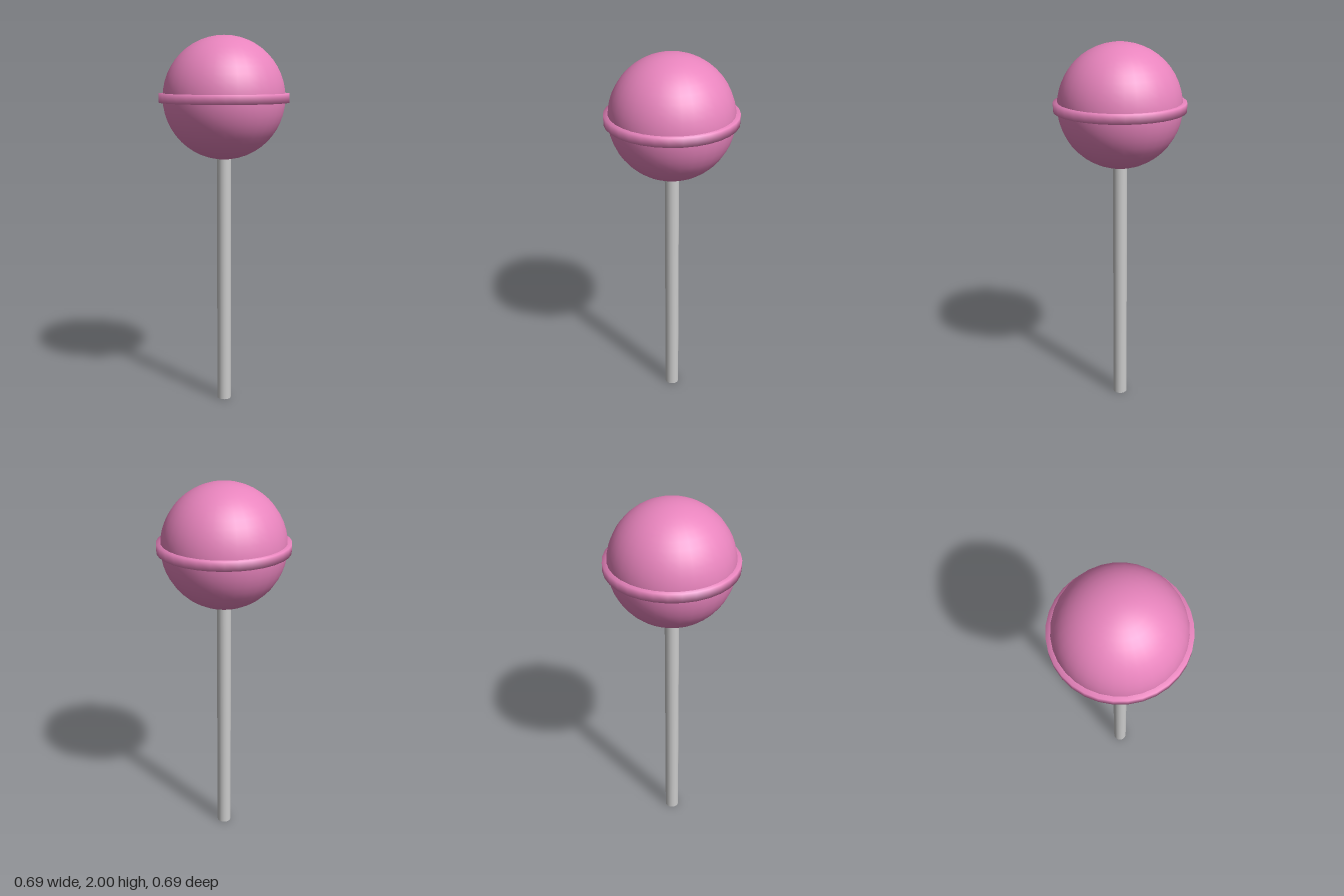
import * as THREE from 'three';

export function createModel() {
  const model = new THREE.Group();
  const pink = new THREE.MeshStandardMaterial({ color: 0xe884bd });
  const grey = new THREE.MeshStandardMaterial({ color: 0xcccccc });
  const candyY = 1.675;

  const add = (name, geometry, material, y) => {
    const mesh = new THREE.Mesh(geometry, material);
    mesh.name = name;
    mesh.position.y = y;
    model.add(mesh);
  };

  // Round candy
  add('candyBall', new THREE.SphereGeometry(0.325, 32, 24), pink, candyY);

  // Softly shaded band around the candy's middle
  const h = 0.024;
  const profile = [[0.3, -h], [0.346, -h], [0.346, h], [0.3, h]]
    .map(([r, y]) => new THREE.Vector2(r, y));
  add('candyRim', new THREE.LatheGeometry(profile, 32), pink, candyY);

  // Stick, its top end sunk into the candy
  const stickHeight = 1.4;
  add('stick', new THREE.CylinderGeometry(0.038, 0.038, stickHeight, 16), grey, stickHeight / 2);

  return model;
}
